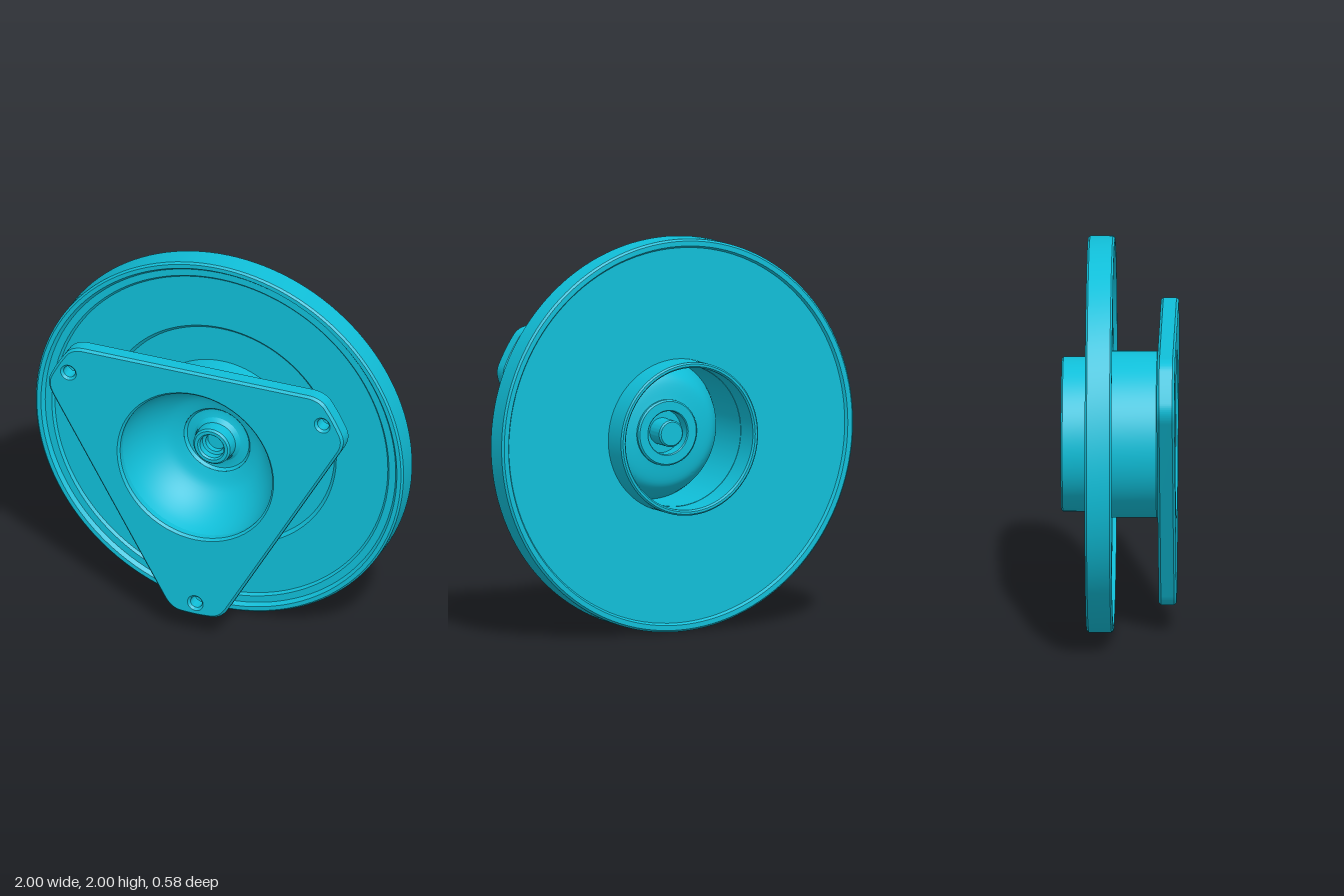
import * as THREE from 'three';
import { toCreasedNormals } from 'three/addons/utils/BufferGeometryUtils.js';

const teal = new THREE.MeshStandardMaterial({ color: 0x10bfd9 });
teal.name = 'teal';

// Turned part about the z axis; profile points are [radius, z]
function turned(name, profile, segments = 128) {
  const pts = profile.map(([r, z]) => new THREE.Vector2(r, z));
  const geo = new THREE.LatheGeometry(pts, segments).rotateX(Math.PI / 2);
  const mesh = new THREE.Mesh(toCreasedNormals(geo, 0.4), teal);
  mesh.name = name;
  return mesh;
}

// Smooth run of profile points through a few guides
function smooth(guides, n = 20) {
  const curve = new THREE.SplineCurve(guides.map(([r, z]) => new THREE.Vector2(r, z)));
  return curve.getPoints(n).map((p) => [p.x, p.y]);
}

// Three-cornered plate with rounded ears, bolt holes and a round opening
function flangeGeometry() {
  const flat = 0.55, reach = 0.87, bevel = 0.012;
  const ear = Math.acos(flat / reach);
  const half = Math.PI / 3 - ear;
  const shape = new THREE.Shape();
  const at = (r, a) => [r * Math.cos(a), r * Math.sin(a)];
  const endRadius = Math.hypot(flat, 0.605);
  const endAngle = Math.PI / 3 - Math.atan2(0.605, flat);
  for (let k = 0; k < 3; k++) {
    const a = Math.PI / 6 + (k * 2 * Math.PI) / 3;
    const start = at(endRadius, a - endAngle);
    if (k === 0) shape.moveTo(...start);
    else shape.lineTo(...start);
    shape.quadraticCurveTo(...at(reach, a - half), ...at(reach, a - 0.1));
    shape.absarc(0, 0, reach, a - 0.1, a + 0.1, false);
    shape.quadraticCurveTo(...at(reach, a + half), ...at(endRadius, a + endAngle));
    const bolt = new THREE.Path();
    bolt.absarc(...at(0.797, a), 0.031, 0, Math.PI * 2, true);
    shape.holes.push(bolt);
  }
  shape.closePath();
  const opening = new THREE.Path();
  opening.absarc(0, 0, 0.414, 0, Math.PI * 2, true);
  shape.holes.push(opening);
  const geo = new THREE.ExtrudeGeometry(shape, {
    depth: 0.09 - 2 * bevel, bevelEnabled: true, bevelThickness: bevel,
    bevelSize: bevel, bevelOffset: -bevel, bevelSegments: 1, curveSegments: 32,
  });
  geo.translate(0, 0, 0.2 + bevel);
  return toCreasedNormals(geo, 0.4);
}

export function createModel() {
  const model = new THREE.Group();
  model.name = 'flangedWheel';
  const body = new THREE.Group();
  body.name = 'body';
  body.position.y = 1;
  model.add(body);

  // Rear collar, stepped disc and neck
  body.add(turned('discAndNeck', [
    [0.36, 0.125], [0.36, -0.15], [0.362, -0.15], [0.362, -0.28], [0.37, -0.29],
    [0.382, -0.29], [0.39, -0.282], [0.39, -0.145],
    [0.955, -0.145], [0.965, -0.16], [0.99, -0.16], [1, -0.15],
    [1, -0.035], [0.99, -0.025], [0.968, -0.025], [0.953, -0.045],
    [0.917, -0.045], [0.905, -0.058], [0.625, -0.058], [0.608, -0.075],
    [0.42, -0.075], [0.42, 0.19], [0.43, 0.202],
  ]));

  // Curved bowl, front and back skins
  body.add(turned('bowlFront', smooth([
    [0.426, 0.289], [0.395, 0.19], [0.34, 0.1], [0.265, 0.03], [0.18, 0],
  ])));
  body.add(turned('bowlBack', smooth([
    [0.165, -0.03], [0.27, -0.005], [0.33, 0.06], [0.362, 0.125],
  ])));

  // Central boss with a shallow bore in front
  body.add(turned('boss', [
    [0.18, 0], [0.168, -0.015], [0.15, -0.015], [0.125, -0.008], [0.105, 0.012],
    [0.1, 0.07], [0.09, 0.08], [0.073, 0.08], [0.065, 0.07],
    [0.065, 0.035], [0.05, 0.03], [0.05, 0], [0, 0],
  ], 64));

  // Rear ring and shaft end
  body.add(turned('shaftAndRing', [
    [0, -0.09], [0.06, -0.09], [0.068, -0.082], [0.068, 0.02],
    [0.11, 0.02], [0.11, -0.045], [0.115, -0.05], [0.16, -0.05],
    [0.168, -0.042], [0.168, -0.025],
  ], 64));

  const flange = new THREE.Mesh(flangeGeometry(), teal);
  flange.name = 'mountingFlange';
  // Turn so one ear points straight down
  body.add(flange);
  return model;
}
